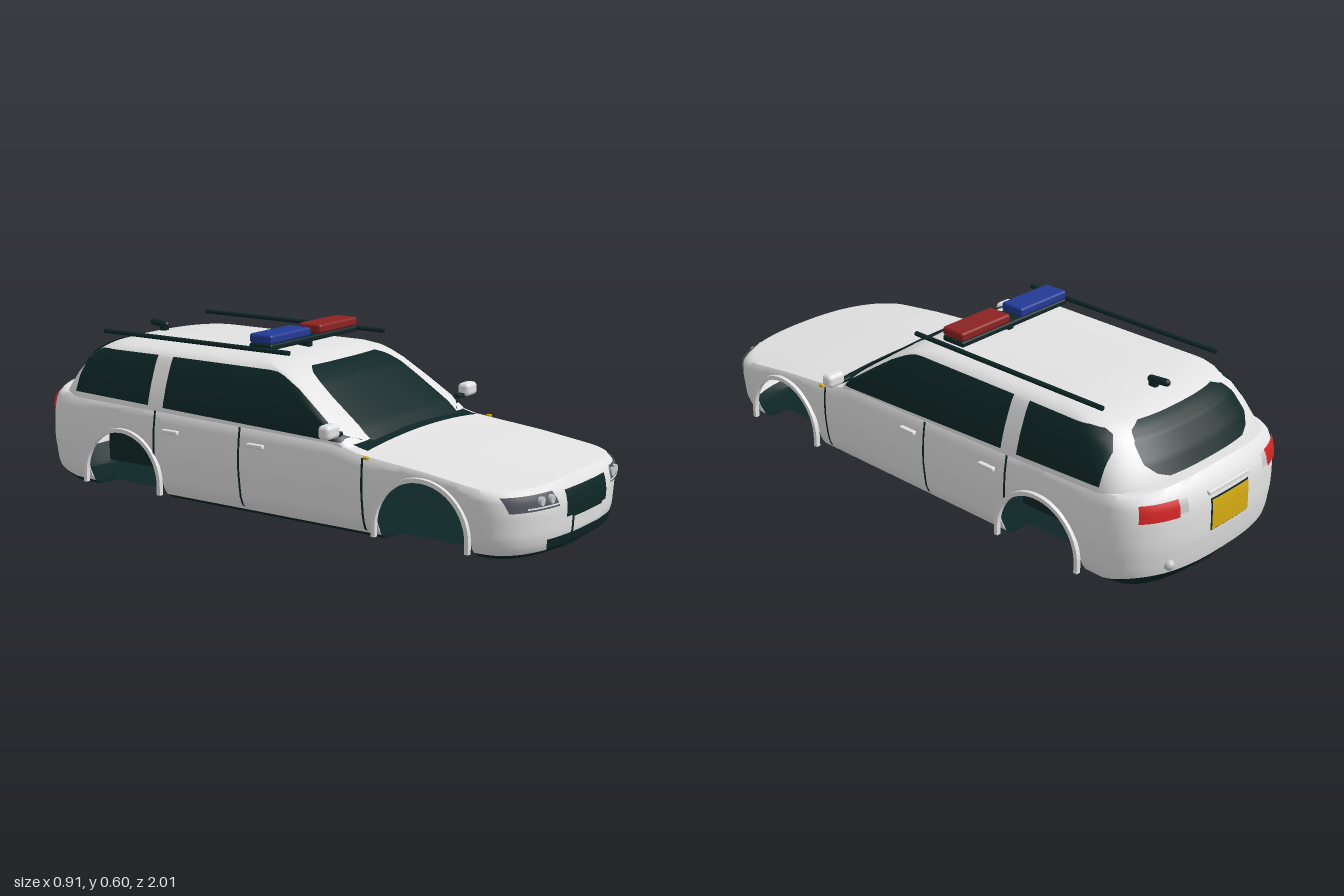
import * as THREE from 'three';
import { toCreasedNormals } from 'three/addons/utils/BufferGeometryUtils.js';
import { RoundedBoxGeometry } from 'three/addons/geometries/RoundedBoxGeometry.js';

const mat = (name, color) => {
  const m = new THREE.MeshStandardMaterial({ color, side: THREE.DoubleSide });
  m.name = name;
  return m;
};
const N = 2.5; // corner roundness in plan
const lerp = THREE.MathUtils.lerp;

// Linear lookup in rows of [key, ...values], keys ascending
function look(table, k) {
  let i = 1;
  while (i < table.length - 1 && k > table[i][0]) i++;
  const a = table[i - 1], b = table[i];
  const t = THREE.MathUtils.clamp((k - a[0]) / (b[0] - a[0]), 0, 1);
  return a.slice(1).map((v, j) => lerp(v, b[j + 1], t));
}

// Height levels: y, half width, front z, rear z
const BODY = [[0.01, 0.31, 0.95, -0.93], [0.035, 0.352, 0.985, -0.975], [0.08, 0.37, 0.996, -0.99],
  [0.16, 0.38, 1, -1], [0.2, 0.381, 0.992, -1], [0.26, 0.378, 0.955, -0.998], [0.3, 0.372, 0.93, -0.99], [0.34, 0.366, 0.9, -0.965]];
const CABIN = [[0.27, 0.37, 0.42, -0.935], [0.34, 0.362, 0.34, -0.92], [0.4, 0.345, 0.255, -0.885], [0.46, 0.322, 0.17, -0.84],
  [0.485, 0.31, 0.125, -0.805], [0.5, 0.3, 0.09, -0.775], [0.513, 0.275, 0.04, -0.73], [0.521, 0.23, -0.01, -0.67], [0.526, 0.13, -0.08, -0.58]];
const body = y => { const [w, f, r] = look(BODY, y); return { w, f, r, cf: 0.81, cr: -0.8 }; };
const cabin = y => { const [w, f, r] = look(CABIN, y); return { w, f, r, cf: f - 0.06, cr: r + 0.15 }; };

// Points on a shell: front arc (t angle), side (z or fraction), rear arc (t angle)
function onShell(shell, y, col) {
  const s = shell(y), p = v => Math.pow(Math.max(v, 0), 2 / N);
  if (col.k === 's') return [s.w, y, col.z !== undefined ? col.z : lerp(s.cf, s.cr, col.t)];
  const x = s.w * p(Math.sin(col.t)), c = p(Math.cos(col.t));
  return [x, y, col.k === 'f' ? s.cf + (s.f - s.cf) * c : s.cr + (s.r - s.cr) * c];
}
const inv = q => Math.pow(Math.max(0, 1 - Math.pow(Math.min(1, Math.abs(q)), N)), 1 / N);
const frontZ = (shell, x, y) => { const s = shell(y); return s.cf + (s.f - s.cf) * inv(x / s.w); };
const rearZ = (shell, x, y) => { const s = shell(y); return s.cr + (s.r - s.cr) * inv(x / s.w); };
function sideX(shell, z, y) {
  const s = shell(y);
  return s.w * (z > s.cf ? inv((z - s.cf) / (s.f - s.cf)) : z < s.cr ? inv((z - s.cr) / (s.r - s.cr)) : 1);
}

// Surface from rows of points
function grid(rows, crease) {
  const n = rows[0].length, index = [];
  for (let i = 0; i < rows.length - 1; i++) for (let j = 0; j < n - 1; j++) {
    const a = i * n + j, b = a + 1, c = a + n, d = c + 1;
    index.push(a, b, d, a, d, c);
  }
  const g = new THREE.BufferGeometry();
  g.setAttribute('position', new THREE.Float32BufferAttribute(rows.flat(2), 3));
  g.setIndex(index);
  g.computeVertexNormals();
  return crease ? toCreasedNormals(g, crease) : g;
}
const sheet = (nu, nv, fn) => grid(Array.from({ length: nv + 1 }, (_, j) =>
  Array.from({ length: nu + 1 }, (_, i) => fn(i / nu, j / nv))));
const transpose = cols => cols[0].map((_, r) => cols.map(c => c[r]));

// Bonnet and beltline height
const topY = (x, z) => look([[-1, 0.33], [-0.8, 0.33], [0.3, 0.305], [0.4, 0.28], [0.64, 0.257], [0.95, 0.215], [1, 0.207]], z)[0]
  + 0.025 * (1 - (x / 0.38) ** 2);
const baseY = z => 0.03 + 0.04 * THREE.MathUtils.smoothstep(-z, 0.75, 0.95);
const ARCHES = [0.635, -0.56], R = 0.165, ARCH_Y = 0.07;

function bodyColumns() {
  const cols = [], arc = 14;
  const arch = c => {
    cols.push({ k: 's', z: c + R });
    for (let i = 0; i <= 20; i++) {
      const a = Math.PI * i / 20;
      cols.push({ k: 's', z: c + R * Math.cos(a), bottom: ARCH_Y + R * Math.sin(a) });
    }
    cols.push({ k: 's', z: c - R });
  };
  for (let i = 0; i <= arc; i++) cols.push({ k: 'f', t: i / arc * Math.PI / 2 });
  arch(ARCHES[0]);
  for (const z of [0.4, 0.3, 0.15, 0, -0.2]) cols.push({ k: 's', z });
  arch(ARCHES[1]);
  for (let i = arc; i >= 0; i--) cols.push({ k: 'r', t: i / arc * Math.PI / 2 });
  return cols;
}
const bothSides = half => half.concat([...half].reverse().map(c => c.map(([x, y, z]) => [-x, y, z])));

export function createModel() {
  const car = new THREE.Group();
  car.name = 'patrolEstate';
  const white = mat('white paint', 0xe2e2e2), dark = mat('dark glass and trim', 0x0e2626), blue = mat('blue beacon', 0x223a94),
    beacon = mat('red beacon', 0x8c2222), red = mat('tail light red', 0xd42222), yellow = mat('yellow', 0xd6ab12),
    grey = mat('headlight grey', 0x54565f), silver = mat('silver', 0xc4c6c8);
  const add = (name, geo, m, x = 0, y = 0, z = 0) => {
    const o = new THREE.Mesh(geo, m);
    o.name = name;
    o.position.set(x, y, z);
    car.add(o);
    return o;
  };
  const box = (name, m, w, h, d, x, y, z, r = 0.004) => add(name, new RoundedBoxGeometry(w, h, d, 3, r), m, x, y, z);

  // Lower body with wheel openings, bonnet and deck
  const cols = bodyColumns();
  const shellCols = cols.map(c => {
    const [rx, , rz] = onShell(body, 0.16, c), out = [];
    const lo = c.bottom || baseY(rz), hi = topY(rx, rz) - 0.015;
    for (let i = 0; i <= 12; i++) out.push(onShell(body, lerp(lo, hi, i / 12), c));
    const [ex, , ez] = out[12], z = ez * 0.985;
    for (const f of [0.97, 0.9, 0.75, 0.5, 0.25, 0]) out.push([ex * f, topY(ex * f, z), z]);
    return out;
  });
  add('bodyShell', grid(transpose(bothSides(shellCols)), 0.8), white);

  // Dark skirt and floor, narrowed between the wheels
  const floorCols = cols.map(c => {
    const z = onShell(body, 0.16, c)[2];
    if (c.bottom) return [[0.24, 0.012, z], [0.24, 0.012, z], [0, 0, z]];
    const p = onShell(body, 0.012, c);
    return [onShell(body, baseY(z), c), p, [0, 0, p[2]]];
  });
  add('floor', grid(transpose(bothSides(floorCols)), 0.6), dark);
  add('rearWell', new THREE.BoxGeometry(0.5, 0.2, 0.36), dark, 0, 0.185, ARCHES[1]);

  // Cabin and roof
  const cabinCols = [];
  for (let i = 0; i <= 14; i++) cabinCols.push({ k: 'f', t: i / 14 * Math.PI / 2 });
  for (let i = 1; i < 12; i++) cabinCols.push({ k: 's', t: i / 12 });
  for (let i = 14; i >= 0; i--) cabinCols.push({ k: 'r', t: i / 14 * Math.PI / 2 });
  add('cabin', grid(transpose(bothSides(cabinCols.map(c =>
    [...CABIN.map(l => onShell(cabin, l[0], c)), [0, 0.528, lerp(-0.1, -0.56, c.k === 'f' ? 0 : c.k === 'r' ? 1 : c.t)]])))), white);

  // Windscreen, rear window and cowl
  const SCREEN = [[0.3, 0.262], [0.32, 0.266], [0.42, 0.25], [0.46, 0.238], [0.485, 0.218], [0.498, 0.185]];
  add('windscreen', sheet(20, 24, (u, v) => {
    const y = lerp(0.3, 0.498, v), x = (u * 2 - 1) * look(SCREEN, y)[0];
    return [x, y + 0.003, frontZ(cabin, x, y) + 0.006];
  }), dark);
  const BACK = [[0.355, 0.18], [0.37, 0.22], [0.4, 0.25], [0.45, 0.245], [0.48, 0.225], [0.495, 0.18]];
  add('rearWindow', sheet(20, 20, (u, v) => {
    const y = lerp(0.355, 0.495, v), x = (u * 2 - 1) * look(BACK, y)[0];
    return [x, y + 0.003, rearZ(cabin, x, y) - 0.006];
  }), dark);
  add('cowl', sheet(16, 3, (u, v) => {
    const x = lerp(-0.335, 0.335, u), z = lerp(0.35, 0.412, v);
    return [x, topY(x, z) + 0.004, z];
  }), dark);

  // Patch on the front or rear of the lower body
  const facePatch = (name, m, sign, x0, x1, y0, y1, slant = 0, lift = 0.005) => add(name, sheet(14, 6, (u, v) => {
    const y = lerp(y0, y1, v), x = lerp(x0 + slant * v * Math.sign(x0), x1 + slant * v * Math.sign(x1), u);
    return [x, y, sign > 0 ? frontZ(body, x, y) + lift : rearZ(body, x, y) - lift];
  }), m);
  facePatch('grille', dark, 1, -0.132, 0.132, 0.125, 0.208);
  facePatch('frontPlateFrame', dark, 1, -0.1, 0.1, 0.068, 0.125);
  facePatch('frontPlate', white, 1, -0.095, 0.095, 0.072, 0.121, 0, 0.009);
  facePatch('lowerIntake', dark, 1, -0.205, 0.205, 0.03, 0.07, 0.012);
  facePatch('rearPlateFrame', dark, -1, -0.094, 0.094, 0.171, 0.279, 0, 0.004);
  facePatch('rearPlate', yellow, -1, -0.09, 0.09, 0.175, 0.275, 0, 0.007);
  box('tailgateHandle', white, 0.2, 0.014, 0.014, 0, 0.297, -0.99);
  box('tailgateSlit', dark, 0.25, 0.006, 0.01, 0, 0.348, -0.922, 0.002);
  add('rearFogLamp', new THREE.SphereGeometry(0.018, 16, 10), silver, 0.24, 0.1, rearZ(body, 0.24, 0.1));

  for (const s of [1, -1]) {
    const side = s > 0 ? 'left' : 'right';
    const sidePatch = (name, m, z0, z1, lo, hi, shell = body, lift = 0.004) => add(side + name,
      sheet(24, 10, (u, v) => {
        const z = lerp(z0, z1, u), y = lerp(lo(z), hi(z), v);
        return [s * (sideX(shell, z, y) + lift), y, z];
      }), m);

    // Side glass
    const sill = z => look([[-0.785, 0.345], [0.35, 0.308]], z)[0];
    const FRONT = [[-0.39, 0.497], [0.04, 0.496], [0.075, 0.485], [0.135, 0.455], [0.22, 0.398], [0.305, 0.338], [0.36, 0.309]];
    const REAR = [[-0.785, 0.44], [-0.765, 0.475], [-0.735, 0.49], [-0.69, 0.496], [-0.455, 0.497]];
    sidePatch('DoorGlass', dark, 0.36, -0.39, sill, z => look(FRONT, z)[0], cabin);
    sidePatch('QuarterGlass', dark, -0.455, -0.785, sill, z => look(REAR, z)[0], cabin);

    // Door seams, handles and side marker
    for (const [z, lo, hi] of [[0.42, 0.02, 0.275], [-0.06, 0.02, 0.31], [-0.42, 0.165, 0.32]])
      sidePatch('DoorSeam', dark, z - 0.004, z + 0.004, () => lo, () => hi, body, 0.002);
    for (const z of [0.01, -0.345]) box(side + 'DoorHandle', white, 0.016, 0.014, 0.066, s * 0.383, 0.258, z);
    box(side + 'Marker', yellow, 0.012, 0.01, 0.018, s * 0.38, 0.277, 0.435, 0.003);

    // Wheel arch trims
    for (const c of ARCHES) {
      const a = new THREE.Shape(), o = R + 0.008, i = R - 0.006;
      a.moveTo(o, 0.035);
      a.lineTo(o, ARCH_Y);
      a.absarc(0, ARCH_Y, o, 0, Math.PI, false);
      a.lineTo(-o, 0.035);
      a.lineTo(-i, 0.035);
      a.lineTo(-i, ARCH_Y);
      a.absarc(0, ARCH_Y, i, Math.PI, 0, true);
      a.lineTo(i, 0.035);
      const g = new THREE.ExtrudeGeometry(a, { depth: 0.016, bevelEnabled: false, curveSegments: 24 });
      add(side + 'ArchTrim', g.rotateY(Math.PI / 2), white, s > 0 ? 0.377 : -0.393, 0, c);
    }

    // Lamps
    add(side + 'Headlight', sheet(24, 5, (u, v) => {
      const y = lerp(0.168, 0.216, v), x = lerp(lerp(0.168, 0.19, v), lerp(0.345, 0.36, v), u);
      return [s * (x + 0.002), y, frontZ(body, x, y) + 0.006];
    }), grey);
    for (const x of [0.205, 0.247])
      add(side + 'Lamp', new THREE.CylinderGeometry(0.014, 0.014, 0.016, 20).rotateX(Math.PI / 2), silver, s * x, 0.195, frontZ(body, x, 0.195) + 0.004);
    facePatch(side + 'HeadlightStrip', white, 1, s * 0.17, s * 0.3, 0.174, 0.179, 0, 0.009);
    add(side + 'TailLight', sheet(16, 5, (u, v) => {
      const [x, y, z] = onShell(body, lerp(0.262, 0.316, v), { k: 'r', t: lerp(0.52, 1.04, u) });
      return [s * (x + 0.004), y, z - 0.005];
    }), red);
    facePatch(side + 'ReverseLight', silver, -1, s * 0.185, s * 0.225, 0.27, 0.312);

    // Mirrors and roof rails
    box(side + 'Mirror', white, 0.07, 0.046, 0.045, s * 0.42, 0.353, 0.325, 0.015);
    box(side + 'MirrorArm', dark, 0.04, 0.014, 0.022, s * 0.374, 0.336, 0.322);
    add(side + 'RoofRail', new THREE.CylinderGeometry(0.008, 0.008, 0.79, 12).rotateX(Math.PI / 2), dark, s * 0.278, 0.551, -0.325);

    // Beacons: red on the left, blue on the right
    box(side + 'Beacon', s > 0 ? beacon : blue, 0.224, 0.031, 0.092, s * 0.138, 0.58, -0.068, 0.009);
  }
  box('lightBarBase', dark, 0.5, 0.02, 0.092, 0, 0.555, -0.068, 0.007);
  box('lightBarPost', dark, 0.024, 0.03, 0.05, 0, 0.535, -0.068);
  const aerial = add('aerial', new THREE.CapsuleGeometry(0.012, 0.06, 6, 12).rotateX(Math.PI / 2), dark, 0, 0.543, -0.71);
  aerial.rotation.x = 0.08;
  box('aerialFoot', dark, 0.02, 0.02, 0.03, 0, 0.528, -0.69);
  return car;
}
